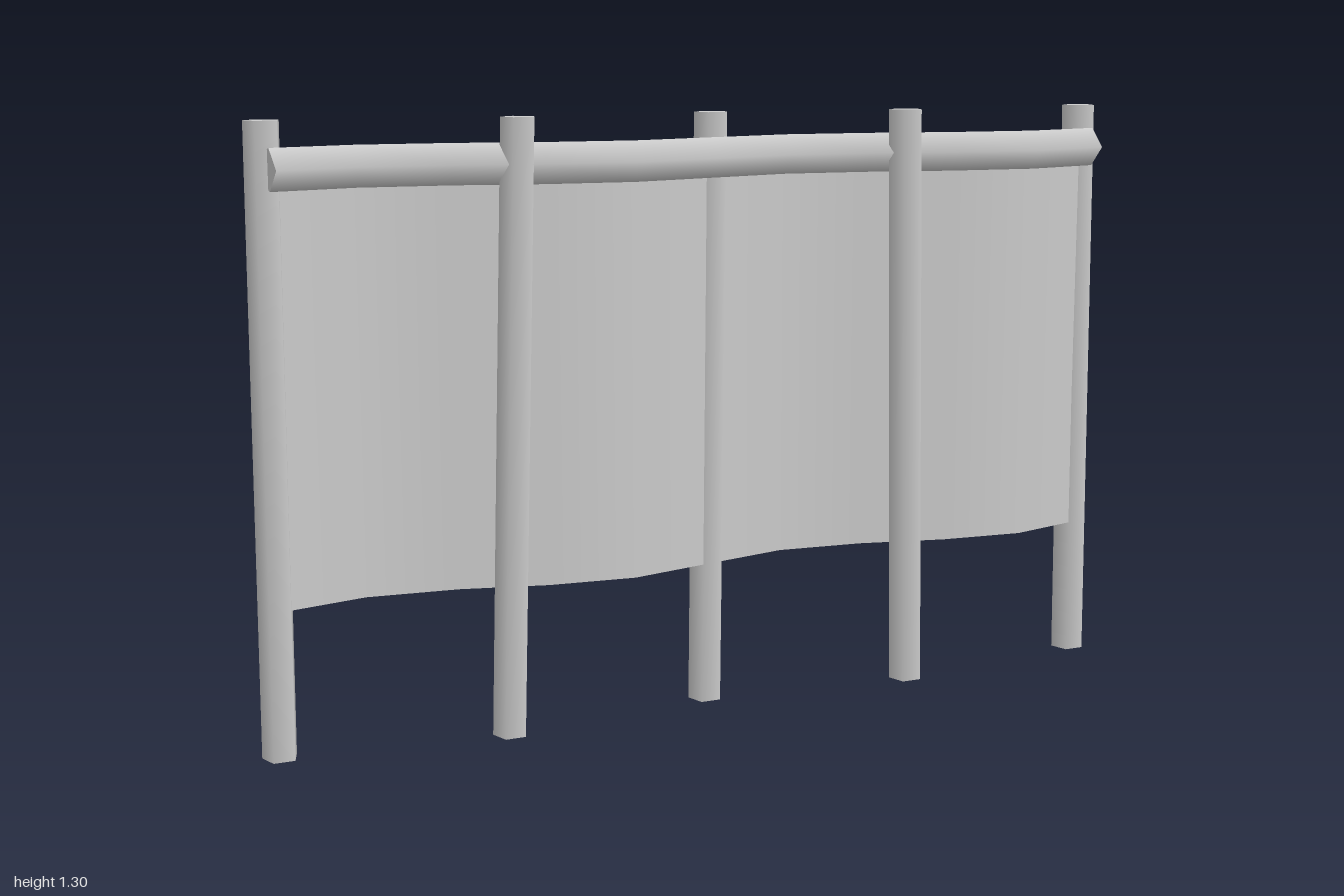
import * as THREE from 'three';
import { ParametricGeometry } from 'three/addons/geometries/ParametricGeometry.js';

const POST_H = 1.302, POST_R = 0.038;
const RAIL_Y = 1.207, RAIL_R = 0.045, SHEET_BOTTOM = 0.315;

// Wavy centre line shared by the rail and the sheet
const wave = new THREE.CatmullRomCurve3([
  [-0.955, -0.01], [-0.77, -0.05], [-0.575, -0.03], [-0.39, 0.018], [-0.2, 0.038], [0, -0.008],
  [0.19, -0.05], [0.385, -0.03], [0.58, 0.018], [0.77, 0.038], [0.962, -0.01],
].map(([x, z]) => new THREE.Vector3(x, RAIL_Y, z)));
const SPANS = 10;

export function createModel() {
  const model = new THREE.Group();
  const grey = new THREE.MeshStandardMaterial({ color: 0xcccccc });
  const thin = new THREE.MeshStandardMaterial({ color: 0xcccccc, side: THREE.DoubleSide });
  const add = (name, geometry, material = grey, parent = model) => {
    const mesh = new THREE.Mesh(geometry, material);
    mesh.name = name;
    parent.add(mesh);
    return mesh;
  };

  // Leaning five-sided posts: bottom x, top x, z (alternating behind and in front)
  const posts = [
    [-0.964, -0.954, -0.034], [-0.484, -0.444, 0.024], [-0.003, 0.013, -0.034],
    [0.479, 0.457, 0.024], [0.964, 0.95, -0.034],
  ];
  for (const [bottomX, topX, z] of posts) {
    const g = new THREE.CylinderGeometry(POST_R, POST_R, POST_H, 5, 1, false, Math.PI);
    g.translate(0, POST_H / 2, 0);
    const p = g.attributes.position;
    for (let i = 0; i < p.count; i++) {
      p.setX(i, p.getX(i) + THREE.MathUtils.lerp(bottomX, topX, p.getY(i) / POST_H));
    }
    g.translate(0, 0, z);
    add('post', g);
  }

  // Five-sided rail swept along the wave, one edge pointing forward
  const rail = new THREE.Group();
  rail.name = 'topRail';
  model.add(rail);
  add('railBody', new ParametricGeometry((u, v, target) => {
    const c = wave.getPoint(u), t = wave.getTangent(u);
    const a = v * Math.PI * 2, out = Math.cos(a) * RAIL_R;
    target.set(c.x - t.z * out, c.y + Math.sin(a) * RAIL_R, c.z + t.x * out);
  }, SPANS, 5), grey, rail);

  // Rail end caps
  for (const u of [0, 1]) {
    const dir = u ? 1 : -1, t = wave.getTangent(u).multiplyScalar(dir);
    const cap = add('railEnd', new THREE.CircleGeometry(RAIL_R, 5, u * Math.PI), grey, rail);
    cap.position.copy(wave.getPoint(u));
    cap.rotation.y = Math.atan2(t.x, t.z);
  }

  // Thin sheet hanging from the rail
  add('hangingSheet', new ParametricGeometry((u, v, target) => {
    const c = wave.getPoint(u);
    target.set(c.x, THREE.MathUtils.lerp(SHEET_BOTTOM, RAIL_Y, v), c.z);
  }, SPANS, 1), thin);

  return model;
}
